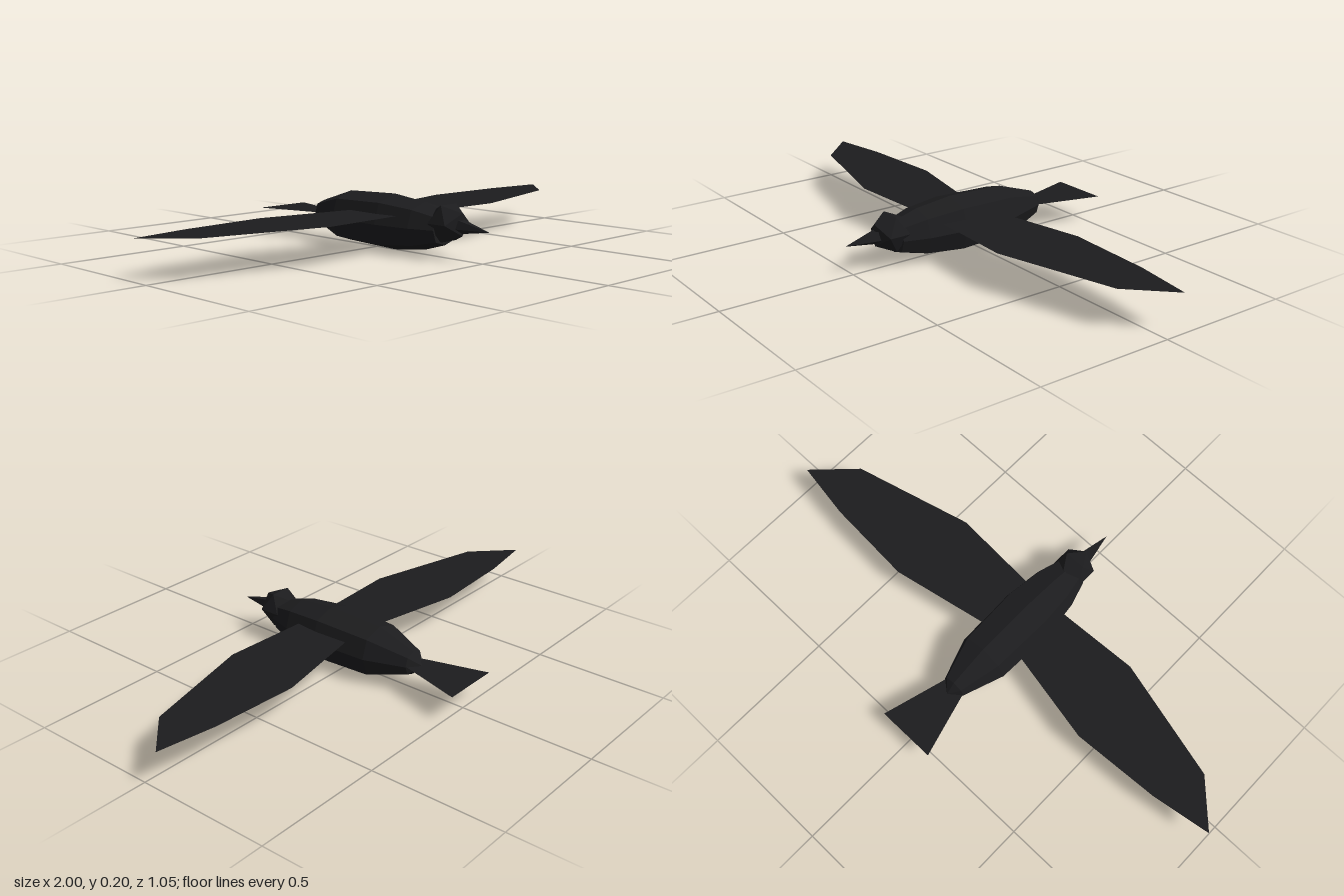
import * as THREE from 'three';

const MID = 0.102; // height of the body axis and tail
const WING_Y = 0.139; // the wings sit above the body axis

const solid = new THREE.MeshStandardMaterial({ color: 0x1c1c1e, flatShading: true });
const thin = new THREE.MeshStandardMaterial({ color: 0x1c1c1e, flatShading: true, side: THREE.DoubleSide });

function addPart(group, name, geometry, material) {
  const mesh = new THREE.Mesh(geometry, material);
  mesh.name = name;
  group.add(mesh);
  return mesh;
}

// Eight-sided hull lofted from front to back; each station is [z, scale].
function hullGeometry(stations, section) {
  const n = section.length;
  const positions = [];
  const index = [];
  stations.forEach(([z, s], i) => {
    section.forEach(([x, y], j) => {
      positions.push(x * s, MID + y * s, z);
      if (i === stations.length - 1) return;
      const a = i * n + j;
      const b = i * n + (j + 1) % n;
      if (s > 0) index.push(a, a + n, b);
      if (stations[i + 1][1] > 0) index.push(a + n, b + n, b);
    });
  });
  const geometry = new THREE.BufferGeometry();
  geometry.setAttribute('position', new THREE.Float32BufferAttribute(positions, 3));
  geometry.setIndex(index);
  geometry.computeVertexNormals();
  return geometry;
}

// Flat horizontal panel from [x, z] outline points at a given height.
function panelGeometry(points, y) {
  const shape = new THREE.Shape(points.map(([x, z]) => new THREE.Vector2(x, -z)));
  return new THREE.ShapeGeometry(shape).rotateX(-Math.PI / 2).translate(0, y, 0);
}

export function createModel() {
  const bird = new THREE.Group();
  bird.name = 'bird';

  // Body: closed at the breast, tapering to a point at the rump
  const section = [
    [0.108, 0], [0.083, 0.075], [0, 0.101], [-0.083, 0.075],
    [-0.108, 0], [-0.083, -0.075], [0, -0.101], [0.083, -0.075],
  ];
  const stations = [
    [0.33, 0], [0.33, 0.57], [0.235, 0.84], [0.09, 1],
    [-0.135, 0.92], [-0.285, 0.43], [-0.322, 0],
  ];
  addPart(bird, 'body', hullGeometry(stations, section), solid);

  // Head
  const head = addPart(bird, 'head', new THREE.IcosahedronGeometry(0.075, 0), solid);
  head.position.set(0, 0.124, 0.345);

  // Beak, drooping slightly
  const beakShape = new THREE.ConeGeometry(0.03, 0.14, 5).rotateX(Math.PI / 2);
  const beak = addPart(bird, 'beak', beakShape, solid);
  beak.position.set(0, 0.115, 0.457);
  beak.rotation.x = 0.06;

  // Wings, mirrored left and right
  const wing = [
    [0, -0.03], [0.1, -0.05], [0.45, -0.12], [0.78, -0.1],
    [1, -0.065], [0.855, 0.08], [0.41, 0.195], [0, 0.173],
  ];
  for (const [name, side] of [['leftWing', 1], ['rightWing', -1]]) {
    addPart(bird, name, panelGeometry(wing.map(([x, z]) => [x * side, z]), WING_Y), thin);
  }

  // Tail fan
  const tail = [[-0.038, -0.27], [0.038, -0.27], [0.11, -0.528], [-0.11, -0.528]];
  addPart(bird, 'tail', panelGeometry(tail, MID), thin);

  return bird;
}
